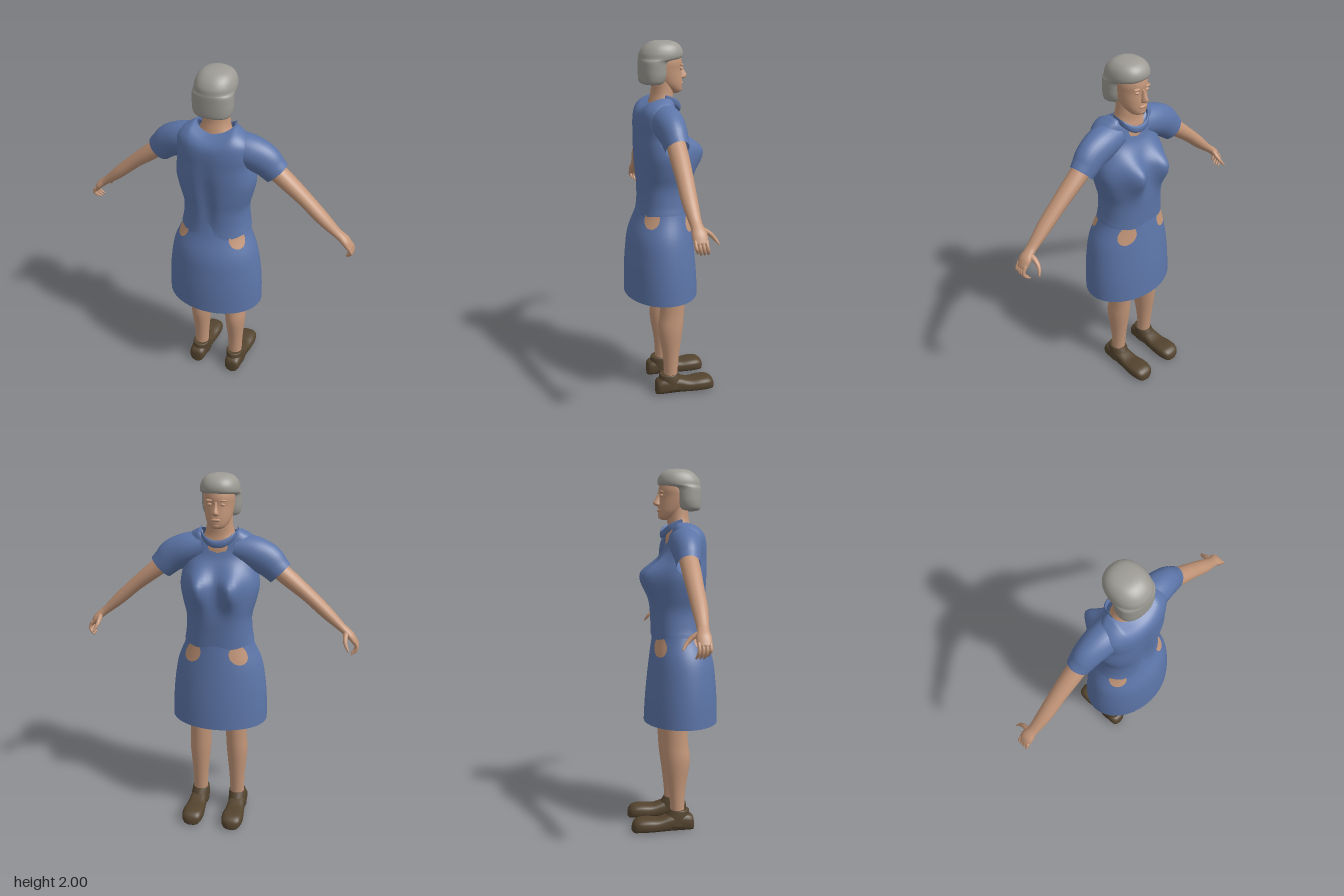
import * as THREE from 'three';

const mat = (name, color, side = THREE.FrontSide) => {
  const m = new THREE.MeshStandardMaterial({ color, side });
  m.name = name;
  return m;
};
const X = new THREE.Vector3(1, 0, 0), Y = new THREE.Vector3(0, 1, 0), Z = new THREE.Vector3(0, 0, 1);

// Smooth interpolation between numeric keys, t in 0..1
function sample(keys, t) {
  const n = keys.length - 1, f = Math.min(t, 0.99999) * n, i = Math.floor(f), u = f - i;
  const at = (k) => keys[Math.max(0, Math.min(n, k))];
  const [a, b, c, d] = [at(i - 1), at(i), at(i + 1), at(i + 2)];
  return b.map((p, k) => p + 0.5 * u * (c[k] - a[k]
    + u * (2 * a[k] - 5 * p + 4 * c[k] - d[k] + u * (3 * (p - c[k]) + d[k] - a[k]))));
}

// Sweep an ellipse through keys [x, y, z, radiusU, radiusV]
function loft(keys, { u, v, cap = true, sides = 20, per = 4, square = 1, warp } = {}) {
  const rows = (keys.length - 1) * per, pos = [], idx = [];
  const point = (t) => new THREE.Vector3(...sample(keys, t).slice(0, 3));
  const pw = (c) => Math.sign(c) * Math.abs(c) ** square;
  let flip = false;
  for (let r = 0; r <= rows; r++) {
    const k = sample(keys, r / rows), c = new THREE.Vector3(k[0], k[1], k[2]);
    const T = point(Math.min(1, r / rows + 0.01)).sub(point(Math.max(0, r / rows - 0.01))).normalize();
    const U = u || T.clone().cross(Z).normalize();
    const V = v || U.clone().cross(T).normalize();
    if (r === 0) flip = U.clone().cross(V).dot(T) < 0;
    for (let s = 0; s < sides; s++) {
      const a = (s / sides) * Math.PI * 2;
      const p = c.clone().addScaledVector(U, k[3] * pw(Math.cos(a))).addScaledVector(V, k[4] * pw(Math.sin(a)));
      if (warp) warp(p);
      pos.push(p.x, p.y, p.z);
    }
  }
  const tri = (a, b, c) => (flip ? idx.push(a, c, b) : idx.push(a, b, c));
  for (let r = 0; r < rows; r++) for (let s = 0; s < sides; s++) {
    const a = r * sides + s, b = r * sides + (s + 1) % sides;
    tri(a, b, b + sides);
    tri(a, b + sides, a + sides);
  }
  if (cap) for (const end of [0, 1]) {
    const k = keys[end * (keys.length - 1)], m = pos.length / 3, o = end * rows * sides;
    pos.push(k[0], k[1], k[2]);
    for (let s = 0; s < sides; s++) {
      const a = o + s, b = o + (s + 1) % sides;
      end ? tri(a, b, m) : tri(b, a, m);
    }
  }
  return build(pos, idx);
}

function build(pos, idx) {
  const g = new THREE.BufferGeometry();
  g.setAttribute('position', new THREE.Float32BufferAttribute(pos, 3));
  g.setIndex(idx);
  g.computeVertexNormals();
  return g;
}

// Upright keys [y, halfWidth, backZ, faceZ, centreX]
const upright = (rows) => rows.map(([y, w, b, f, x = 0]) => [x, y, (b + f) / 2, w, (b - f) / 2]);
const column = (rows, o) => loft(upright(rows), { u: X, v: Z, ...o });

export function createModel() {
  const model = new THREE.Group();
  const skin = mat('skin', 0xc39679);
  const patchSkin = skin;
  const cloth = mat('blue cloth', 0x5c75a8, THREE.DoubleSide);
  const hairGrey = mat('grey hair', 0x9d9b94);
  const leather = mat('brown leather', 0x54442f);
  const add = (name, geo, material) => {
    const m = new THREE.Mesh(geo, material);
    m.name = name;
    model.add(m);
    return m;
  };
  const ball = (name, material, p, s) => {
    const m = add(name, new THREE.SphereGeometry(1, 16, 10), material);
    m.position.set(...p);
    m.scale.set(...s);
  };

  // Skirt, keys evenly spaced in height
  const skirtRows = [[0.61, 0.274, 0.248, -0.163], [0.73, 0.271, 0.246, -0.156], [0.85, 0.26, 0.238, -0.145],
    [0.97, 0.238, 0.222, -0.131], [1.09, 0.19, 0.178, -0.115], [1.21, 0.165, 0.15, -0.1]];
  add('skirt', column(skirtRows, { cap: false, sides: 40 }), cloth);
  add('skirtHem', column([[0.61, 0.274, 0.248, -0.163], [0.612, 0.266, 0.24, -0.155], [0.635, 0.264, 0.238, -0.153]],
    { cap: false, sides: 40 }), cloth);

  // Blouse with bust, back groove and dipped neckline
  const blouse = (p) => {
    const ax = Math.abs(p.x);
    if (p.z < 0) {
      const h = p.y > 1.43 ? 0.075 : 0.11;
      p.z -= 0.075 * Math.exp(-(((ax - 0.09) / 0.055) ** 2) - ((p.y - 1.43) / h) ** 2);
    } else {
      p.z -= 0.016 * Math.exp(-((p.x / 0.035) ** 2) - ((p.y - 1.3) / 0.18) ** 2);
    }
    if (p.y > 1.6) {
      const dip = Math.max(0, 1 - (ax / 0.11) ** 2) * (p.y - 1.6) / 0.12;
      p.y -= dip * (p.z < 0 ? 0.085 : 0.04);
    }
    if (p.y < 1.12) p.y += 0.008 * Math.cos(p.x * 32);
  };
  add('blouse', column([[1.09, 0.193, 0.175, -0.119], [1.15, 0.184, 0.168, -0.121], [1.24, 0.18, 0.17, -0.124],
    [1.32, 0.2, 0.176, -0.12], [1.4, 0.216, 0.18, -0.113], [1.46, 0.212, 0.182, -0.1], [1.52, 0.2, 0.182, -0.07],
    [1.58, 0.2, 0.181, -0.042], [1.64, 0.195, 0.172, -0.033], [1.68, 0.163, 0.15, -0.03], [1.705, 0.122, 0.12, -0.028],
    [1.72, 0.097, 0.1, -0.026]], { cap: false, sides: 64, square: 0.88, warp: blouse }), cloth);

  // Collar band around the throat
  add('collar', loft([[-0.1, 1.715, 0.03, 0.008, 0.014], [-0.088, 1.69, -0.022, 0.009, 0.018],
    [-0.05, 1.66, -0.052, 0.009, 0.02], [0, 1.648, -0.06, 0.009, 0.02], [0.05, 1.66, -0.052, 0.009, 0.02],
    [0.088, 1.69, -0.022, 0.009, 0.018], [0.1, 1.715, 0.03, 0.008, 0.014]], { u: Z, v: Y, sides: 12 }), cloth);

  // Chest and neck, then head with face features
  add('neck', column([[1.54, 0.15, 0.12, -0.04], [1.6, 0.145, 0.12, -0.038], [1.65, 0.11, 0.11, -0.034],
    [1.69, 0.082, 0.1, -0.028], [1.74, 0.07, 0.088, -0.03], [1.82, 0.068, 0.085, -0.03]]), skin);
  add('head', column([[1.728, 0.022, -0.02, -0.06], [1.74, 0.044, 0.01, -0.076], [1.77, 0.064, 0.06, -0.08],
    [1.81, 0.075, 0.1, -0.078], [1.85, 0.08, 0.11, -0.074], [1.89, 0.082, 0.11, -0.077], [1.94, 0.074, 0.1, -0.065]],
  { sides: 28 }), skin);
  add('nose', column([[1.8, 0.01, -0.06, -0.085], [1.808, 0.018, -0.055, -0.101], [1.82, 0.015, -0.055, -0.107],
    [1.845, 0.009, -0.055, -0.092], [1.87, 0.007, -0.055, -0.08]], { sides: 12 }), skin);
  ball('lips', skin, [0, 1.778, -0.076], [0.026, 0.009, 0.01]);
  ball('chin', skin, [0, 1.748, -0.066], [0.025, 0.016, 0.014]);

  // Bobbed hair, open around the face
  add('hair', column([[1.778, 0.08, 0.135, 0.04], [1.788, 0.096, 0.15, 0.02], [1.82, 0.104, 0.154, 0.006],
    [1.86, 0.105, 0.155, 0], [1.895, 0.105, 0.155, -0.01], [1.91, 0.104, 0.153, -0.07], [1.935, 0.102, 0.149, -0.081],
    [1.965, 0.091, 0.13, -0.071], [1.988, 0.068, 0.1, -0.046], [1.998, 0.035, 0.068, -0.012], [2, 0.004, 0.032, 0.024]],
  { sides: 32, square: 0.9 }), hairGrey);

  // Oval of bare skin lying on the skirt surface
  const patch = (angle, y, da, dy) => {
    const pos = [], idx = [], n = 24;
    const put = (a, h) => {
      const k = sample(upright(skirtRows), (h - 0.61) / 0.6);
      pos.push((k[3] + 0.004) * Math.cos(a), h, k[2] + (k[4] + 0.004) * Math.sin(a));
    };
    put(angle, y);
    for (let r = 1; r <= 4; r++) for (let s = 0; s < n; s++) {
      const t = (s / n) * Math.PI * 2;
      put(angle + da * Math.cos(t) * r / 4, y + dy * Math.sin(t) * r / 4);
    }
    for (let s = 0; s < n; s++) {
      const q = (s + 1) % n;
      idx.push(0, 1 + q, 1 + s);
      for (let r = 0; r < 3; r++) {
        const a = 1 + r * n + s, b = 1 + r * n + q;
        idx.push(a, b, b + n, a, b + n, a + n);
      }
    }
    return build(pos, idx);
  };

  for (const s of [1, -1]) {
    const side = s > 0 ? 'left' : 'right';
    const flip = (keys) => keys.map(([x, ...rest]) => [s * x, ...rest]);
    const deg = (d) => ((s > 0 ? d : 180 - d) * Math.PI) / 180;

    ball(side + 'Eye', skin, [s * 0.033, 1.856, -0.065], [0.014, 0.008, 0.01]);
    ball(side + 'Brow', skin, [s * 0.034, 1.876, -0.066], [0.022, 0.006, 0.012]);

    // Sleeve and arm
    add(side + 'Sleeve', loft(flip([[0.09, 1.61, 0.05, 0.08, 0.085], [0.18, 1.59, 0.042, 0.088, 0.084],
      [0.255, 1.555, 0.036, 0.088, 0.074], [0.3, 1.515, 0.032, 0.077, 0.066], [0.328, 1.488, 0.03, 0.072, 0.06]]),
    { cap: false, sides: 28 }), cloth);
    add(side + 'Arm', loft(flip([[0.26, 1.55, 0.035, 0.05, 0.05], [0.38, 1.456, 0.035, 0.045, 0.049],
      [0.48, 1.375, 0.036, 0.038, 0.044], [0.58, 1.285, 0.038, 0.034, 0.04], [0.66, 1.214, 0.035, 0.024, 0.031],
      [0.69, 1.19, 0.032, 0.022, 0.031], [0.72, 1.163, 0.03, 0.021, 0.038], [0.748, 1.125, 0.029, 0.012, 0.034]])), skin);

    // Curled fingers and thumb
    for (let f = 0; f < 4; f++) {
      const z = 0.056 - f * 0.018, d = f === 0 ? 0.012 : 0;
      add(side + 'Finger', loft(flip([[0.738, 1.145, z, 0.01, 0.009], [0.756, 1.115, z, 0.009, 0.009],
        [0.752, 1.09 + d, z - 0.006, 0.008, 0.008], [0.728 + d, 1.07 + d, z - 0.012, 0.004, 0.004]]), { sides: 10 }), skin);
    }
    add(side + 'Thumb', loft(flip([[0.695, 1.185, 0.015, 0.014, 0.014], [0.692, 1.165, -0.02, 0.013, 0.012],
      [0.698, 1.138, -0.048, 0.01, 0.01], [0.715, 1.108, -0.069, 0.004, 0.004]]), { sides: 10 }), skin);

    // Leg
    const leg = [[0.08, 0.042, 0.05, -0.03, 0.112], [0.14, 0.042, 0.048, -0.032, 0.112], [0.25, 0.047, 0.056, -0.042, 0.111],
      [0.4, 0.06, 0.08, -0.062, 0.11], [0.5, 0.06, 0.07, -0.07, 0.106], [0.62, 0.064, 0.068, -0.077, 0.104],
      [0.8, 0.08, 0.1, -0.085, 0.1], [1.0, 0.09, 0.13, -0.085, 0.095]];
    add(side + 'Leg', column(leg.map((k) => [...k.slice(0, 4), s * k[4]])), skin);

    // Shoe: foot swept from heel to toe, plus ankle opening
    const foot = [[0.1, 0.012, 0.025], [0.09, 0.042, 0.042], [0.04, 0.05, 0.05], [-0.03, 0.05, 0.047],
      [-0.1, 0.056, 0.037], [-0.16, 0.062, 0.039], [-0.21, 0.058, 0.038], [-0.238, 0.043, 0.03], [-0.25, 0.012, 0.014]];
    add(side + 'Shoe', loft(foot.map(([z, w, h]) => [s * 0.118, Math.max(h, 0.022) + 0.003, z, w, h]),
      { u: X, v: Y, square: 0.7, sides: 24, warp: (p) => { p.y = Math.max(p.y, 0); } }), leather);
    add(side + 'ShoeCuff', column([[0.03, 0.054, 0.092, -0.09, s * 0.117], [0.08, 0.053, 0.08, -0.06, s * 0.115],
      [0.115, 0.05, 0.075, -0.038, s * 0.113], [0.122, 0.046, 0.07, -0.034, s * 0.113]]), leather);

    // Bare skin at the hips
    add(side + 'BackHipSkin', patch(deg(37), 1.078, 0.28, 0.05), patchSkin);
    add(side + 'FrontHipSkin', patch(deg(-52), 1.045, 0.28, 0.055), patchSkin);
  }
  // Patch faces follow the skirt from either side
  model.traverse((o) => { if (o.name.endsWith('HipSkin')) fixOutward(o.geometry); });
  return model;
}

// Turn every triangle away from the vertical axis
function fixOutward(g) {
  const p = g.attributes.position, ix = g.index.array;
  const v = (i) => new THREE.Vector3().fromBufferAttribute(p, i);
  for (let i = 0; i < ix.length; i += 3) {
    const a = v(ix[i]), n = v(ix[i + 1]).sub(a).cross(v(ix[i + 2]).sub(a));
    if (n.x * a.x + n.z * (a.z - 0.03) < 0) [ix[i + 1], ix[i + 2]] = [ix[i + 2], ix[i + 1]];
  }
  g.computeVertexNormals();
}
